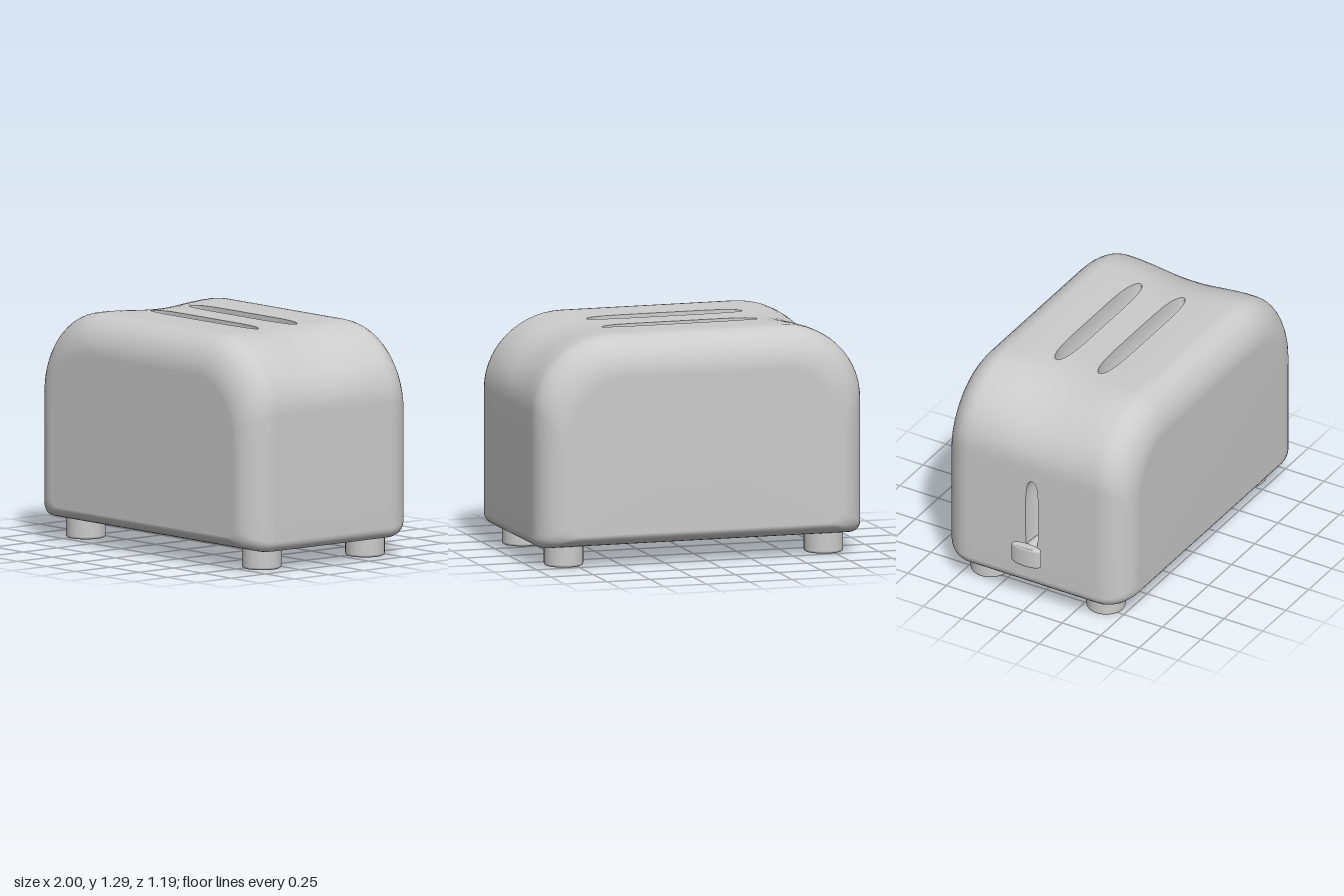
import * as THREE from 'three';
import { mergeVertices } from 'three/addons/utils/BufferGeometryUtils.js';

const CX = 0.045;          // middle of the body in x
const N = 30;              // columns along a slot
const grey = new THREE.MeshStandardMaterial({ color: 0xcccccc });
const greyDouble = new THREE.MeshStandardMaterial({ color: 0xcccccc, side: THREE.DoubleSide });

// Slots: half length, half width, pocket depth
const BREAD = { half: 0.455, width: 0.05, depth: 0.15, z: 0.14 };
const LEVER = { half: 0.24, width: 0.04, depth: 0.1, y: 0.56 };
const slotWidth = (slot, s) => slot.width * Math.sqrt(Math.max(0, 1 - Math.abs(s) ** 5));
const column = k => (k === 0 ? 1 : k === N ? -1 : Math.cos(Math.PI * k / N));

// Shallow dip along the middle of the top, deeper towards the ends
function sag(x, y, z) {
  if (Math.abs(z) > 0.4) return 0;
  const depth = 0.008 + 0.025 * THREE.MathUtils.smoothstep(Math.abs(x - CX), 0.35, 0.75);
  return depth * Math.cos(Math.PI * z / 0.8) ** 2 * THREE.MathUtils.smoothstep(y, 0.87, 1.2);
}

// Front outline of the body, counterclockwise; e = 0 full size, e = 1 at the front and back faces
function outline(e) {
  const pts = [];
  const a = 0.955 - 0.17 * e, top = 1.295 - 0.22 * e, bottom = 0.11 + 0.08 * e;
  const rx = 0.45 - 0.13 * e, ry = 0.42 - 0.06 * e, rb = 0.06;
  const lo = bottom + rb, hi = top - ry, flat = a - rx;
  const add = (x, y, bread = 0, lever = 0) => pts.push({ x: CX + x, y, bread, lever });
  const arc = (cx, cy, r1, r2, from, n) => {
    for (let i = 0; i <= n; i++) {
      const t = from + Math.PI / 2 * i / n;
      add(cx + r1 * Math.cos(t), cy + r2 * Math.sin(t));
    }
  };
  arc(a - rb, lo, rb, rb, -Math.PI / 2, 5);
  for (let i = 1; i < 5; i++) add(a, lo + (hi - lo) * i / 5);
  arc(flat, hi, rx, ry, 0, 14);
  for (let k = 0; k <= N; k++) {
    const s = column(k);
    add(flat * s * BREAD.half / 0.505, top, slotWidth(BREAD, s));
  }
  arc(-flat, hi, rx, ry, Math.PI / 2, 14);
  for (let k = 0; k <= N; k++) {
    const s = column(k);
    const f = (LEVER.y + LEVER.half * s - 0.17) / (0.875 - 0.17);
    add(-a, lo + (hi - lo) * f, 0, slotWidth(LEVER, s));
  }
  arc(-a + rb, lo, rb, rb, Math.PI, 5);
  for (let i = 1; i < 6; i++) add((a - rb) * (i / 3 - 1), bottom);
  return pts;
}

// Body shell: outlines lofted from front to back, with rows parting around the slots
function bodyGeometry() {
  const rows = [];
  const F = 10;
  for (let i = 0; i <= F; i++) {
    const t = Math.PI / 2 * i / F;
    rows.push({ z: 0.415 + 0.18 * Math.cos(t), e: 1 - Math.sin(t) });
  }
  for (const z of [0.34, 0.27, 0.22]) rows.push({ z, e: 0 });
  rows.push({ z: BREAD.z, e: 0, bread: 1, open: true }, { z: BREAD.z, e: 0, bread: -1 });
  rows.push({ z: 0.065, e: 0 });
  const back = rows.map(r => ({ z: -r.z, e: r.e, bread: r.bread && -r.bread })).reverse();
  back[1].open = true;
  rows.push({ z: 0, e: 0, lever: 1, open: true }, { z: 0, e: 0, lever: -1 }, ...back);

  const pos = [], index = [];
  let n = 0;
  for (const r of rows) {
    const pts = outline(r.e);
    n = pts.length;
    for (const p of pts) {
      const z = r.z + (r.bread || 0) * p.bread + (r.lever || 0) * p.lever;
      pos.push(p.x, p.y - sag(p.x, p.y, z), z);
    }
  }
  rows.slice(0, -1).forEach((r, j) => {
    if (r.open) return;
    for (let i = 0; i < n; i++) {
      const a = j * n + i, b = j * n + (i + 1) % n;
      index.push(a, a + n, b, b, a + n, b + n);
    }
  });
  // Flat front and back faces
  const last = (rows.length - 1) * n, front = rows.length * n;
  pos.push(CX, 0.6, rows[0].z, CX, 0.6, -rows[0].z);
  for (let i = 0; i < n; i++) {
    const k = (i + 1) % n;
    index.push(front, i, k, front + 1, last + k, last + i);
  }
  const geo = new THREE.BufferGeometry();
  geo.setAttribute('position', new THREE.Float32BufferAttribute(pos, 3));
  geo.setIndex(index);
  const merged = mergeVertices(geo, 1e-5);
  merged.computeVertexNormals();
  return merged;
}

// Round-bottomed pocket below a slot; place(along, across, depth) gives a point
function pocketGeometry(slot, place) {
  const R = 8, pos = [], index = [];
  for (let j = 0; j <= R; j++) {
    const t = Math.PI / 2 * j / R;
    for (let k = 0; k < 2 * N; k++) {
      const s = column(k <= N ? k : 2 * N - k);
      const w = slotWidth(slot, s) * (k <= N ? 1 : -1);
      pos.push(...place(slot.half * s * (1 - 0.08 * (1 - Math.cos(t))), w * Math.cos(t), slot.depth * Math.sin(t)));
    }
  }
  for (let j = 0; j < R; j++) for (let k = 0; k < 2 * N; k++) {
    const a = j * 2 * N + k, b = j * 2 * N + (k + 1) % (2 * N);
    index.push(a, b, a + 2 * N, b, b + 2 * N, a + 2 * N);
  }
  const geo = new THREE.BufferGeometry();
  geo.setAttribute('position', new THREE.Float32BufferAttribute(pos, 3));
  geo.setIndex(index);
  geo.computeVertexNormals();
  return geo;
}

// Upright disc with rounded rims, standing on y = 0
function roundedDisc(r, h, edge, edgeR = edge, roundTop = true) {
  const p = [new THREE.Vector2(0, 0)];
  for (let i = 0; i <= 5; i++) {
    const t = Math.PI / 2 * i / 5;
    p.push(new THREE.Vector2(r - edgeR + edgeR * Math.sin(t), edge - edge * Math.cos(t)));
  }
  if (roundTop) for (const q of p.slice().reverse()) p.push(new THREE.Vector2(q.x, h - q.y));
  else p.push(new THREE.Vector2(r, h));
  return new THREE.LatheGeometry(p, 36);
}

export function createModel() {
  const model = new THREE.Group();
  const add = (name, geo, mat = grey) => {
    const mesh = new THREE.Mesh(geo, mat);
    mesh.name = name;
    model.add(mesh);
    return mesh;
  };

  add('body', bodyGeometry());

  // Bread slots and lever slot
  for (const side of [1, -1]) {
    add(side > 0 ? 'frontBreadSlot' : 'backBreadSlot', pocketGeometry(BREAD, (l, w, d) => {
      const x = CX + l, z = side * BREAD.z + w;
      return [x, 1.295 - sag(x, 1.295, z) - d, z];
    }), greyDouble);
  }
  add('leverSlot', pocketGeometry(LEVER, (l, w, d) => [CX - 0.955 + d, LEVER.y + l, w]), greyDouble);

  // Lever: round stem with a flattened oval knob
  const stem = add('leverStem', new THREE.CylinderGeometry(0.043, 0.043, 0.14, 24));
  stem.rotation.z = Math.PI / 2;
  stem.position.set(-0.89, 0.355, 0);
  const knob = add('leverKnob', roundedDisc(1, 0.12, 0.018, 0.2));
  knob.scale.set(0.03, 1, 0.095);
  knob.position.set(-0.97, 0.29, 0);

  // Feet
  const foot = roundedDisc(0.11, 0.13, 0.015, 0.015, false);
  for (const x of [-0.76, 0.76]) for (const z of [-0.375, 0.375]) {
    add('foot', foot).position.set(CX + x, 0, z - 0.01);
  }
  return model;
}
